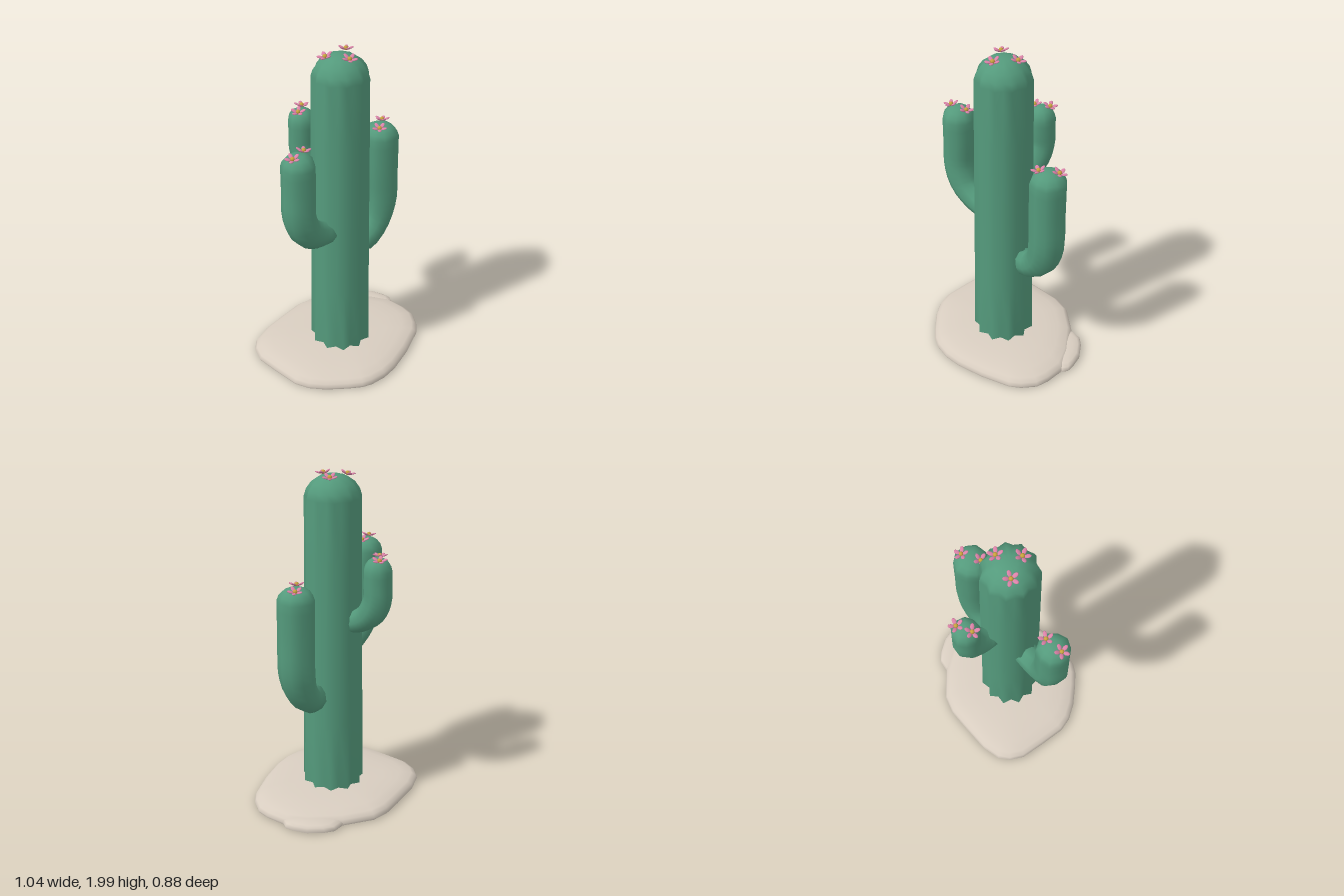
import * as THREE from 'three';

const mat = (name, color) => {
  const m = new THREE.MeshStandardMaterial({ color });
  m.name = name;
  return m;
};

// Skin a list of rings (counter-clockwise about the direction of travel); crisp start cap, smooth end cap.
function loft(rings) {
  const n = rings[0].length, pos = [], idx = [];
  const add = (v) => pos.push(v.x, v.y, v.z) / 3 - 1;
  const middle = (ring) => ring.reduce((s, v) => s.add(v), new THREE.Vector3()).divideScalar(n);
  rings.forEach((ring) => ring.forEach(add));
  for (let i = 0; i < rings.length - 1; i++) {
    for (let j = 0; j < n; j++) {
      const k = (j + 1) % n, a = i * n + j, b = i * n + k;
      idx.push(a, b, a + n, b, b + n, a + n);
    }
  }
  const last = (rings.length - 1) * n;
  const end = add(middle(rings[rings.length - 1]));
  const base = rings[0].map(add)[0];
  const start = add(middle(rings[0]));
  for (let j = 0; j < n; j++) {
    const k = (j + 1) % n;
    idx.push(last + j, last + k, end, base + k, base + j, start);
  }
  const g = new THREE.BufferGeometry();
  g.setAttribute('position', new THREE.Float32BufferAttribute(pos, 3));
  g.setIndex(idx);
  g.computeVertexNormals();
  return g;
}

// Low mound: an outline scaled inwards as it rises
function mound(outline, cx, cz, profile) {
  return loft(profile.map(([s, y]) =>
    outline.map(([x, z]) => new THREE.Vector3(cx + (x - cx) * s, y, cz + (z - cz) * s))));
}

// Ribbed trunk with a rounded top
function trunkGeometry() {
  const ribs = 11;
  const profile = [ // y, ridge radius, valley radius
    [-0.001, 0.05, 0.04], [0.003, 0.17, 0.14], [0.08, 0.183, 0.153], [0.5, 0.177, 0.15],
    [1.0, 0.171, 0.148], [1.5, 0.166, 0.146], [1.85, 0.162, 0.142], [1.89, 0.15, 0.134],
    [1.93, 0.122, 0.112], [1.96, 0.08, 0.075], [1.972, 0.04, 0.04],
  ];
  return loft(profile.map(([y, tip, valley]) => Array.from({ length: ribs * 2 }, (_, j) => {
    const a = (j / ribs) * Math.PI + 0.1 + y * 0.06;
    const r = j % 2 ? valley : tip;
    return new THREE.Vector3(r * Math.sin(a) - 0.006, y, r * Math.cos(a));
  })));
}

// Arm swept along a bend that lies in one upright plane, ending in a dome
function armGeometry(points, baseRadius, radius) {
  const sides = 10, steps = 14;
  const pts = points.map((p) => new THREE.Vector3(...p));
  const curve = new THREE.CatmullRomCurve3(pts);
  const out = pts[pts.length - 1].clone().sub(pts[0]).setY(0).normalize();
  const side = new THREE.Vector3(0, 1, 0).cross(out);
  const ring = (c, t, r) => {
    const n = t.clone().cross(side);
    return Array.from({ length: sides }, (_, j) => {
      const a = (j / sides) * Math.PI * 2;
      const q = r * (j % 2 ? 0.97 : 1.02);
      return c.clone().addScaledVector(side, q * Math.cos(a)).addScaledVector(n, q * Math.sin(a));
    });
  };
  const rings = [ring(pts[0].clone().addScaledVector(curve.getTangentAt(0), -0.02),
    curve.getTangentAt(0), baseRadius * 0.7)];
  for (let i = 0; i <= steps; i++) {
    const u = i / steps;
    rings.push(ring(curve.getPointAt(u), curve.getTangentAt(u),
      THREE.MathUtils.lerp(baseRadius, radius, Math.min(1, u * 2.5))));
  }
  const up = new THREE.Vector3(0, 1, 0), tip = pts[pts.length - 1];
  [[0.03, 0.9], [0.055, 0.68], [0.07, 0.36]].forEach(([h, s]) =>
    rings.push(ring(tip.clone().addScaledVector(up, h), up, radius * s)));
  return loft(rings);
}

export function createModel() {
  const model = new THREE.Group();
  const green = mat('cactusGreen', 0x549a7c);
  const sand = mat('sand', 0xd8cdc0);
  const pink = mat('petalPink', 0xdb82a8);
  const gold = mat('flowerGold', 0xc9a440);

  const addMesh = (parent, name, geometry, material) => {
    const m = new THREE.Mesh(geometry, material);
    m.name = name;
    parent.add(m);
    return m;
  };

  // Sand base and the small heap beside it
  const outline = [
    [0.04, -0.44], [-0.07, -0.435], [-0.19, -0.395], [-0.37, -0.33], [-0.47, -0.265], [-0.51, -0.2],
    [-0.525, -0.11], [-0.49, 0.04], [-0.45, 0.19], [-0.4, 0.265], [-0.32, 0.33], [-0.2, 0.395],
    [-0.12, 0.43], [-0.06, 0.44], [0.04, 0.43], [0.14, 0.395], [0.29, 0.31], [0.44, 0.2],
    [0.485, 0.14], [0.52, 0.05], [0.515, -0.03], [0.48, -0.15], [0.39, -0.25], [0.22, -0.37],
  ];
  addMesh(model, 'sandMound', mound(outline, 0, 0,
    [[0.99, 0], [1, 0.015], [0.98, 0.035], [0.93, 0.053], [0.8, 0.068], [0.6, 0.079], [0.3, 0.086]]), sand);
  const heap = [
    [0.29, -0.385], [0.22, -0.37], [0.22, -0.28], [0.29, -0.18], [0.4, -0.13], [0.48, -0.13],
    [0.495, -0.18], [0.475, -0.23], [0.43, -0.3], [0.35, -0.36],
  ];
  addMesh(model, 'sandHeap', mound(heap, 0.37, -0.25,
    [[0.98, 0.001], [1, 0.015], [0.93, 0.03], [0.75, 0.039], [0.4, 0.045]]), sand);

  // Trunk and three arms
  addMesh(model, 'trunk', trunkGeometry(), green);
  addMesh(model, 'rightArm', armGeometry([[-0.12, 0.91, 0.04], [-0.22, 0.945, 0.073], [-0.3, 1.01, 0.1],
    [-0.345, 1.13, 0.115], [-0.345, 1.29, 0.115], [-0.345, 1.45, 0.115]], 0.075, 0.096), green);
  addMesh(model, 'leftArm', armGeometry([[0.17, 0.69, -0.05], [0.23, 0.715, -0.067], [0.295, 0.79, -0.087],
    [0.33, 0.92, -0.097], [0.33, 1.13, -0.097], [0.33, 1.35, -0.097]], 0.08, 0.105), green);
  addMesh(model, 'backArm', armGeometry([[-0.04, 1.14, -0.13], [-0.056, 1.16, -0.18], [-0.077, 1.215, -0.245],
    [-0.09, 1.31, -0.285], [-0.09, 1.4, -0.285], [-0.09, 1.48, -0.285]], 0.065, 0.081), green);

  // Flowers: five cupped petals round a gold centre, leaning away from the tip they grow on
  const petal = new THREE.SphereGeometry(1, 8, 6);
  petal.scale(0.012, 0.005, 0.02);
  petal.rotateX(-0.4);
  petal.translate(0, 0.011, 0.026);
  const heart = new THREE.SphereGeometry(0.013, 8, 6);
  const tips = [
    { name: 'trunkFlower', c: [0, 0], lean: 3, spots: [[-0.085, 1.962, -0.025], [0.057, 1.966, -0.05], [0.005, 1.963, 0.07]] },
    { name: 'rightArmFlower', c: [-0.345, 0.115], lean: 4, spots: [[-0.39, 1.512, 0.138], [-0.297, 1.512, 0.09]] },
    { name: 'leftArmFlower', c: [0.33, -0.097], lean: 4, spots: [[0.367, 1.412, -0.139], [0.294, 1.412, -0.055]] },
    { name: 'backArmFlower', c: [-0.093, -0.292], lean: 4, spots: [[-0.065, 1.542, -0.325], [-0.125, 1.542, -0.26]] },
  ];
  let turn = 0.3;
  for (const { name, c, lean, spots } of tips) {
    spots.forEach(([x, y, z], i) => {
      const flower = new THREE.Group();
      flower.name = `${name}${i + 1}`;
      flower.position.set(x, y, z);
      const dir = new THREE.Vector3((x - c[0]) * lean, 1, (z - c[1]) * lean).normalize();
      flower.quaternion.setFromUnitVectors(new THREE.Vector3(0, 1, 0), dir);
      for (let k = 0; k < 5; k++) {
        addMesh(flower, 'petal', petal, pink).rotation.y = turn + (k / 5) * Math.PI * 2;
      }
      addMesh(flower, 'flowerCentre', heart, gold).position.y = 0.01;
      model.add(flower);
      turn += 0.9;
    });
  }
  return model;
}
